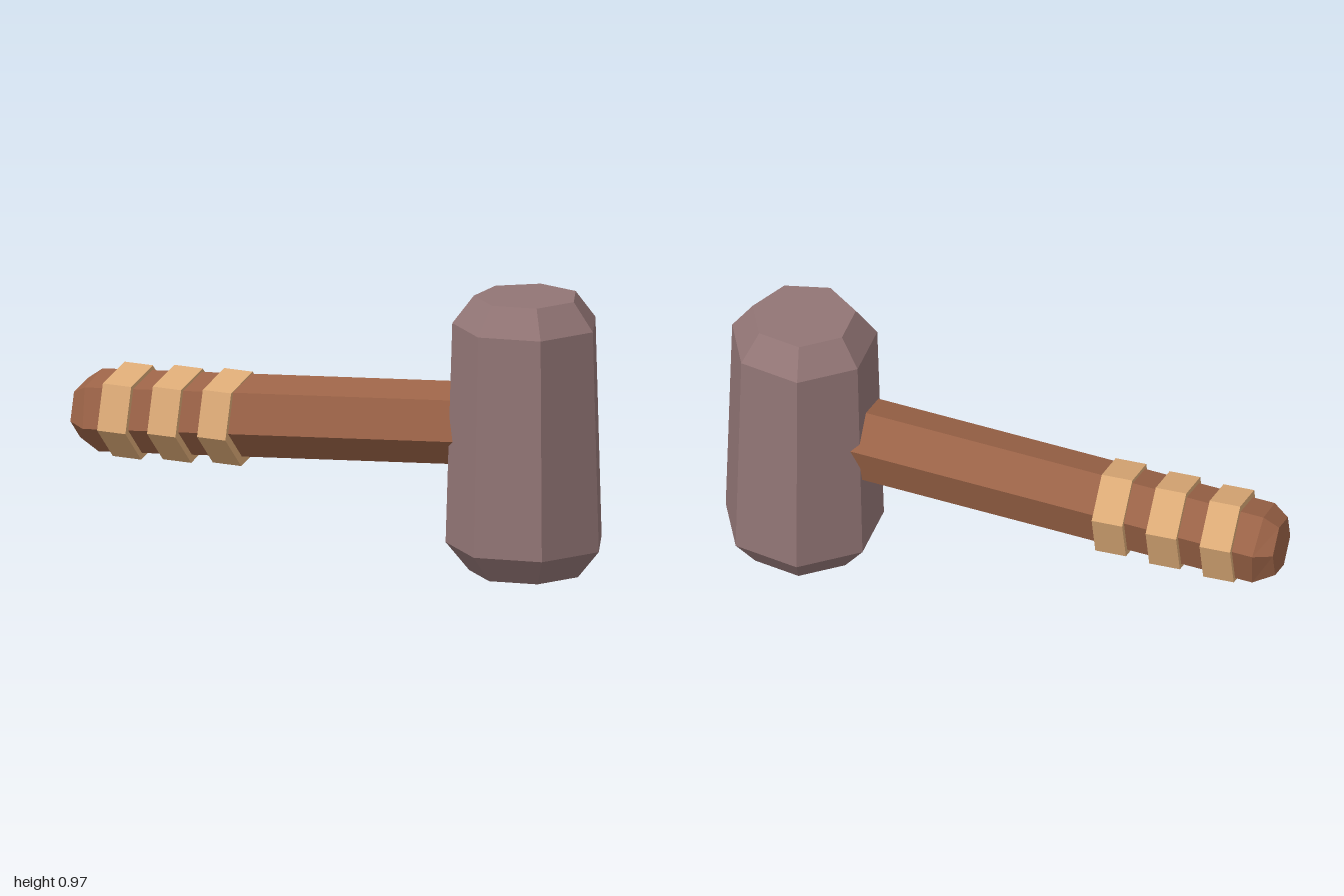
import * as THREE from 'three';

const mat = (name, color) => new THREE.MeshStandardMaterial({ name, color, flatShading: true });

// Closed low-poly solid from a [radius, height] profile
function facetedSolid(profile, sides, start) {
  const points = profile.map(([r, h]) => new THREE.Vector2(r, h));
  return new THREE.LatheGeometry(points, sides, start);
}

// Turns the profile axis from +y to +x
const alongX = new THREE.Matrix4().makeBasis(
  new THREE.Vector3(0, 0, 1), new THREE.Vector3(1, 0, 0), new THREE.Vector3(0, 1, 0));

function addMesh(group, name, geometry, material) {
  const flat = geometry.toNonIndexed();
  flat.computeVertexNormals();
  const mesh = new THREE.Mesh(flat, material);
  mesh.name = name;
  group.add(mesh);
  return mesh;
}

export function createModel() {
  const group = new THREE.Group();
  group.name = 'hammer';
  const stone = mat('stone', 0x927575);
  const wood = mat('wood', 0x9b6347);
  const leather = mat('leather', 0xdcaa76);

  // Seven-sided head, slightly tapered, with bevelled ends
  const head = facetedSolid(
    [[0, 0], [0.198, 0], [0.279, 0.098], [0.256, 0.872], [0.182, 0.97], [0, 0.97]], 7, Math.PI / 2);
  addMesh(group, 'head', head, stone).position.x = 0.72;

  // Six-sided handle rising toward the head, with a chamfered upright butt
  const slope = 0.0864;
  const handle = facetedSolid(
    [[0, -1], [0.102, -1], [0.142, -0.935], [0.142, 0.72], [0, 0.72]], 6, Math.PI / 4).applyMatrix4(alongX);
  const p = handle.attributes.position;
  for (let i = 0; i < p.count; i++) {
    const x = p.getX(i), h = p.getY(i);
    const lean = x < -0.99 ? 0 : slope * h;
    p.setXYZ(i, x - lean, h + Math.max(0.373, 0.371 + slope * (x + 0.935)), p.getZ(i));
  }
  addMesh(group, 'handle', handle, wood);

  // Three grip bands
  for (let i = 0; i < 3; i++) {
    const band = facetedSolid(
      [[0, -0.055], [0.163, -0.055], [0.163, 0.055], [0, 0.055]], 6, Math.PI / 4).applyMatrix4(alongX);
    addMesh(group, 'gripBand' + (i + 1), band, leather).position.set(-0.81 + 0.194 * i, 0.385 + 0.0115 * i, 0);
  }
  return group;
}
